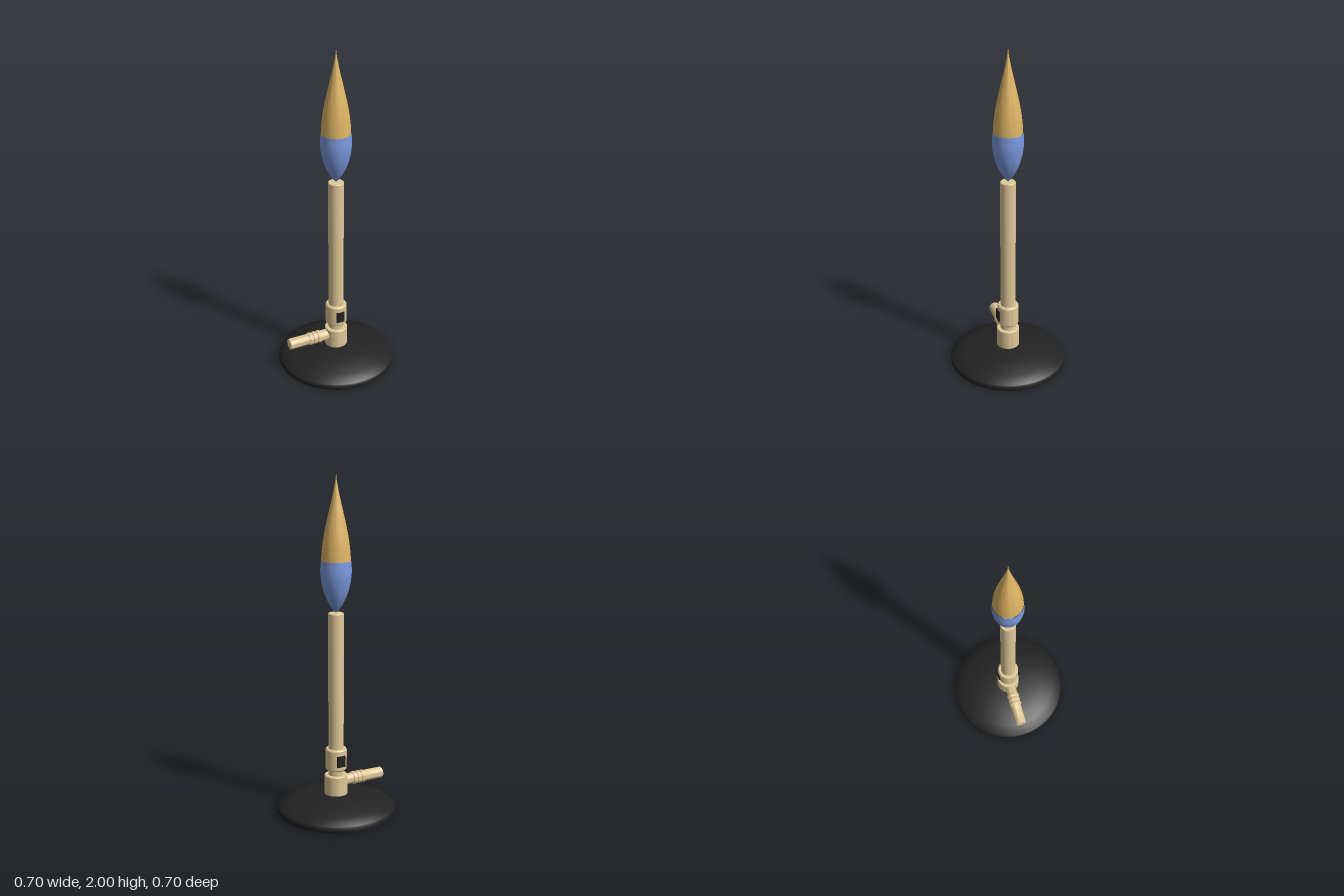
import * as THREE from 'three';
import { toCreasedNormals } from 'three/addons/utils/BufferGeometryUtils.js';

const material = (name, color) => {
  const m = new THREE.MeshStandardMaterial({ color });
  m.name = name;
  return m;
};

// Turned part from [radius, height] pairs, listed bottom to top
function turned(name, points, mat, segments = 48) {
  const profile = points.map(([r, y]) => new THREE.Vector2(r, y));
  const geometry = toCreasedNormals(new THREE.LatheGeometry(profile, segments), 0.6);
  const mesh = new THREE.Mesh(geometry, mat);
  mesh.name = name;
  return mesh;
}

export function createModel() {
  const brass = material('brass', 0xe0c898);
  const black = material('black', 0x222222);
  const blue = material('flameBlue', 0x7b9be0);
  const amber = material('flameAmber', 0xdfb565);
  const model = new THREE.Group();
  model.name = 'gasBurner';

  // Domed foot
  model.add(turned('base', [
    [0, 0], [0.345, 0], [0.348, 0.006], [0.348, 0.027], [0.342, 0.036],
    [0.28, 0.062], [0.22, 0.083], [0.17, 0.094], [0.11, 0.102], [0.06, 0.106], [0, 0.106],
  ], black, 72));

  // Socket, neck, air collar and barrel
  model.add(turned('socket', [[0, 0.09], [0.068, 0.09], [0.068, 0.217], [0.064, 0.222], [0, 0.222]], brass));
  model.add(turned('neck', [[0, 0.21], [0.045, 0.21], [0.045, 0.27], [0, 0.27]], brass));
  model.add(turned('airCollar', [
    [0, 0.254], [0.057, 0.254], [0.063, 0.262], [0.063, 0.377], [0.057, 0.385], [0, 0.385],
  ], brass));
  model.add(turned('barrel', [[0, 0.37], [0.045, 0.37], [0.045, 1.188], [0.042, 1.192], [0, 1.192]], brass));

  // Air holes, front and back
  for (const side of [1, -1]) {
    const hole = new THREE.Mesh(new THREE.BoxGeometry(0.05, 0.067, 0.009), black);
    hole.name = side > 0 ? 'frontAirHole' : 'backAirHole';
    hole.position.set(0, 0.317, side * 0.0625);
    model.add(hole);
  }

  // Gas inlet with three rounded ribs; its profile runs outward along -x
  const inletProfile = [[0, 0.04], [0.033, 0.04]];
  for (const centre of [0.119, 0.147, 0.175]) {
    for (let i = 0; i <= 6; i++) {
      const a = (i / 6) * Math.PI;
      inletProfile.push([0.033 + 0.0055 * Math.sin(a), centre - 0.012 * Math.cos(a)]);
    }
  }
  inletProfile.push([0.033, 0.306], [0.03, 0.31], [0, 0.31]);
  const inlet = turned('gasInlet', inletProfile, brass);
  inlet.rotation.z = Math.PI / 2;
  inlet.position.y = 0.176;
  model.add(inlet);

  // Flame: blue cup below, amber point above
  model.add(turned('lowerFlame', [
    [0, 1.194], [0.014, 1.207], [0.036, 1.238], [0.056, 1.277], [0.072, 1.32],
    [0.083, 1.37], [0.088, 1.41], [0.089, 1.44], [0.086, 1.492],
  ], blue));
  model.add(turned('upperFlame', [
    [0.084, 1.491], [0.081, 1.54], [0.075, 1.595], [0.064, 1.66], [0.05, 1.725],
    [0.035, 1.79], [0.021, 1.85], [0.01, 1.905], [0.002, 1.95], [0, 2],
  ], amber));

  return model;
}
